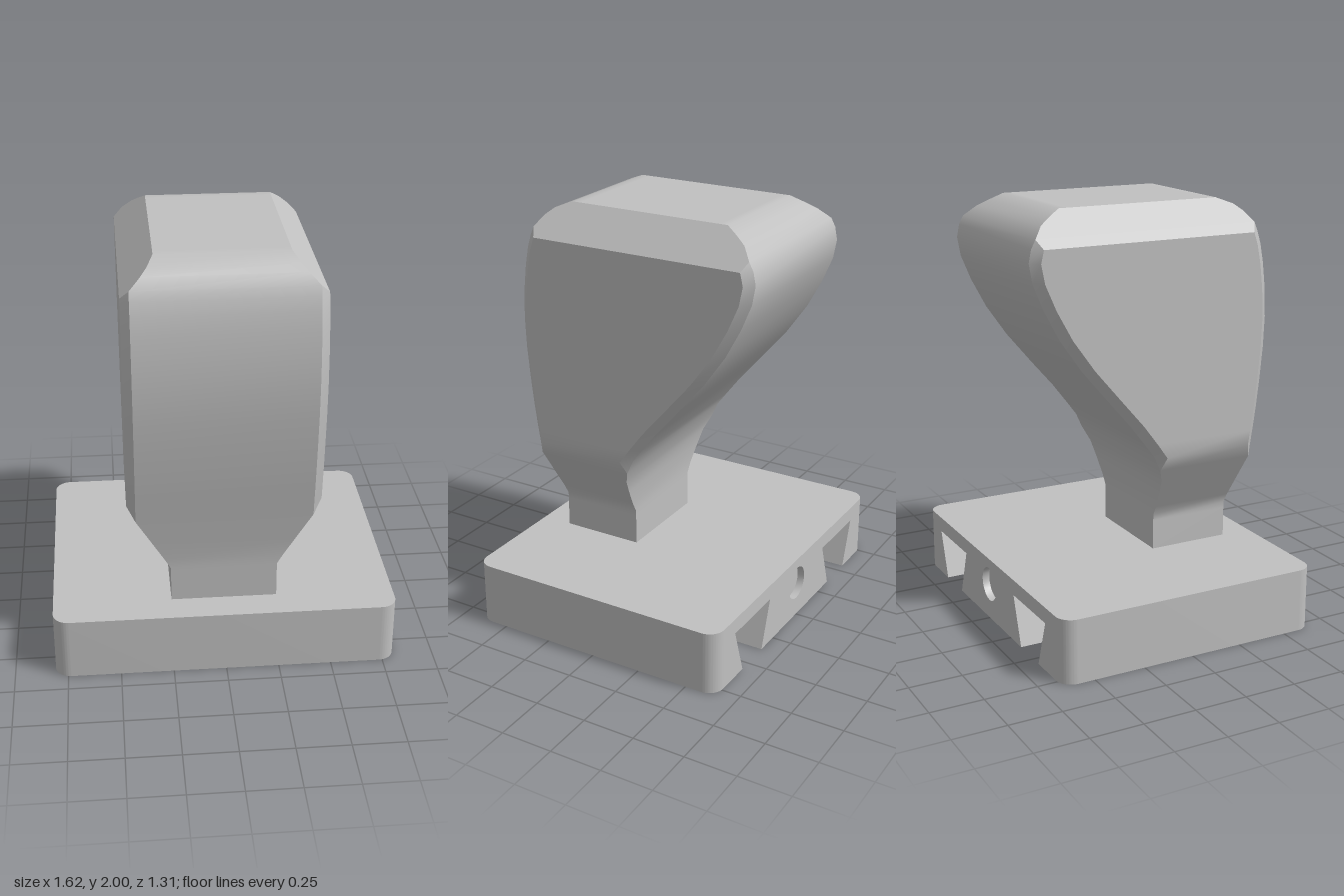
import * as THREE from 'three';
import { toCreasedNormals } from 'three/addons/utils/BufferGeometryUtils.js';

const CREASE = 0.6;

// Side profile of the handle: height, front z, back z
const PROFILE = [
  [0.30, 0.505, 0.105], [0.45, 0.505, 0.105], [0.48, 0.505, 0.105], [0.53, 0.506, 0.104],
  [0.62, 0.518, 0.092], [0.69, 0.527, 0.08], [0.76, 0.537, 0.05], [0.83, 0.547, 0.018],
  [0.90, 0.558, -0.035], [1.00, 0.572, -0.112], [1.13, 0.587, -0.225], [1.29, 0.602, -0.36],
  [1.44, 0.608, -0.465], [1.58, 0.602, -0.54], [1.70, 0.588, -0.59], [1.79, 0.571, -0.606],
  [1.85, 0.552, -0.594], [1.89, 0.535, -0.573], [1.94, 0.503, -0.523], [1.97, 0.468, -0.47],
  [2.00, 0.39, -0.41],
];

// Half width: narrow neck, flare, straight body, sloped shoulders
function halfWidth(y) {
  if (y <= 0.48) return 0.25;
  if (y <= 0.83) return 0.25 + 0.2 * (y - 0.48) / 0.35;
  return y <= 1.85 ? 0.45 : 0.45 - (y - 1.85);
}

// Chamfer depth along z, larger where the profile leans
function chamfer(i, side, excess) {
  const a = PROFILE[Math.max(i - 1, 0)], b = PROFILE[Math.min(i + 1, PROFILE.length - 1)];
  const slope = (b[side] - a[side]) / (b[0] - a[0]);
  return excess * Math.min(Math.hypot(1, slope), 1.5);
}

function handleGeometry() {
  const rings = PROFILE.map(([y, zf, zb], i) => {
    const w = halfWidth(y), m = Math.min(w, 0.41);
    const f = zf - chamfer(i, 1, w - m), b = zb + chamfer(i, 2, w - m);
    return [[m, zf], [w, f], [w, b], [m, zb], [-m, zb], [-w, b], [-w, f], [-m, zf]]
      .map(([x, z]) => new THREE.Vector3(x, y, z));
  });
  const pos = [];
  const tri = (a, b, c) => {
    const area = b.clone().sub(a).cross(c.clone().sub(a)).length();
    if (area > 1e-7) for (const p of [a, b, c]) pos.push(p.x, p.y, p.z);
  };
  const quad = (a, b, c, d) => { tri(a, b, c); tri(a, c, d); };
  for (let i = 0; i < rings.length - 1; i++) {
    for (let j = 0; j < 8; j++) {
      const k = (j + 1) % 8;
      quad(rings[i][j], rings[i][k], rings[i + 1][k], rings[i + 1][j]);
    }
  }
  // Flat top in three strips, so the rounding stays near its ends
  const [y, zf, zb] = PROFILE[PROFILE.length - 1], w = halfWidth(y);
  const zs = [zf, zf - 0.04, zb + 0.04, zb];
  for (let i = 0; i < 3; i++) {
    const p = (x, z) => new THREE.Vector3(x, y, z);
    quad(p(w, zs[i]), p(w, zs[i + 1]), p(-w, zs[i + 1]), p(-w, zs[i]));
  }
  const g = new THREE.BufferGeometry();
  g.setAttribute('position', new THREE.Float32BufferAttribute(pos, 3));
  return toCreasedNormals(g, CREASE);
}

// Base dimensions
const HX = 0.81, HZ = 0.655, H = 0.305, R = 0.075;
const IX = HX - R, GROOVE_END = 0.37, HOLE_DEPTH = 0.035;

// Cross-section of the base with two dovetail grooves
function grooveSection(withHole) {
  const s = new THREE.Shape();
  s.moveTo(-IX, 0);
  for (const c of [-0.46, 0.46]) {
    s.lineTo(c - 0.095, 0);
    s.lineTo(c - 0.172, 0.23);
    s.lineTo(c + 0.172, 0.23);
    s.lineTo(c + 0.095, 0);
  }
  s.lineTo(IX, 0);
  s.lineTo(IX, H);
  s.lineTo(-IX, H);
  s.closePath();
  if (withHole) {
    const hole = new THREE.Path();
    hole.absarc(0, 0.175, 0.083, 0, Math.PI * 2, true);
    s.holes.push(hole);
  }
  return s;
}

function extrude(shape, depth) {
  return new THREE.ExtrudeGeometry(shape, { depth, bevelEnabled: false, curveSegments: 10 });
}

// U-shaped rim with rounded outer corners (shape y is -z)
function rimGeometry() {
  const s = new THREE.Shape();
  s.moveTo(-IX, HZ);
  s.absarc(-IX, HZ - R, R, Math.PI / 2, Math.PI, false);
  s.absarc(-IX, -HZ + R, R, Math.PI, Math.PI * 1.5, false);
  s.absarc(IX, -HZ + R, R, Math.PI * 1.5, Math.PI * 2, false);
  s.absarc(IX, HZ - R, R, 0, Math.PI / 2, false);
  s.lineTo(IX, -GROOVE_END);
  s.lineTo(-IX, -GROOVE_END);
  s.closePath();
  return toCreasedNormals(extrude(s, H).rotateX(-Math.PI / 2), CREASE);
}

export function createModel() {
  const grey = new THREE.MeshStandardMaterial({ color: 0xc0c0c0 });
  grey.name = 'grey';
  const model = new THREE.Group();
  model.name = 'handleOnBase';
  const add = (name, geometry, parent) => {
    const mesh = new THREE.Mesh(geometry, grey);
    mesh.name = name;
    parent.add(mesh);
  };

  const base = new THREE.Group();
  base.name = 'base';
  model.add(base);
  add('baseRim', rimGeometry(), base);
  const back = extrude(grooveSection(true), HOLE_DEPTH).translate(0, 0, -HZ);
  add('baseBackWithHole', toCreasedNormals(back, CREASE), base);
  const start = -HZ + HOLE_DEPTH;
  add('baseGrooves', extrude(grooveSection(false), GROOVE_END - start).translate(0, 0, start), base);

  add('handle', handleGeometry(), model);
  return model;
}
